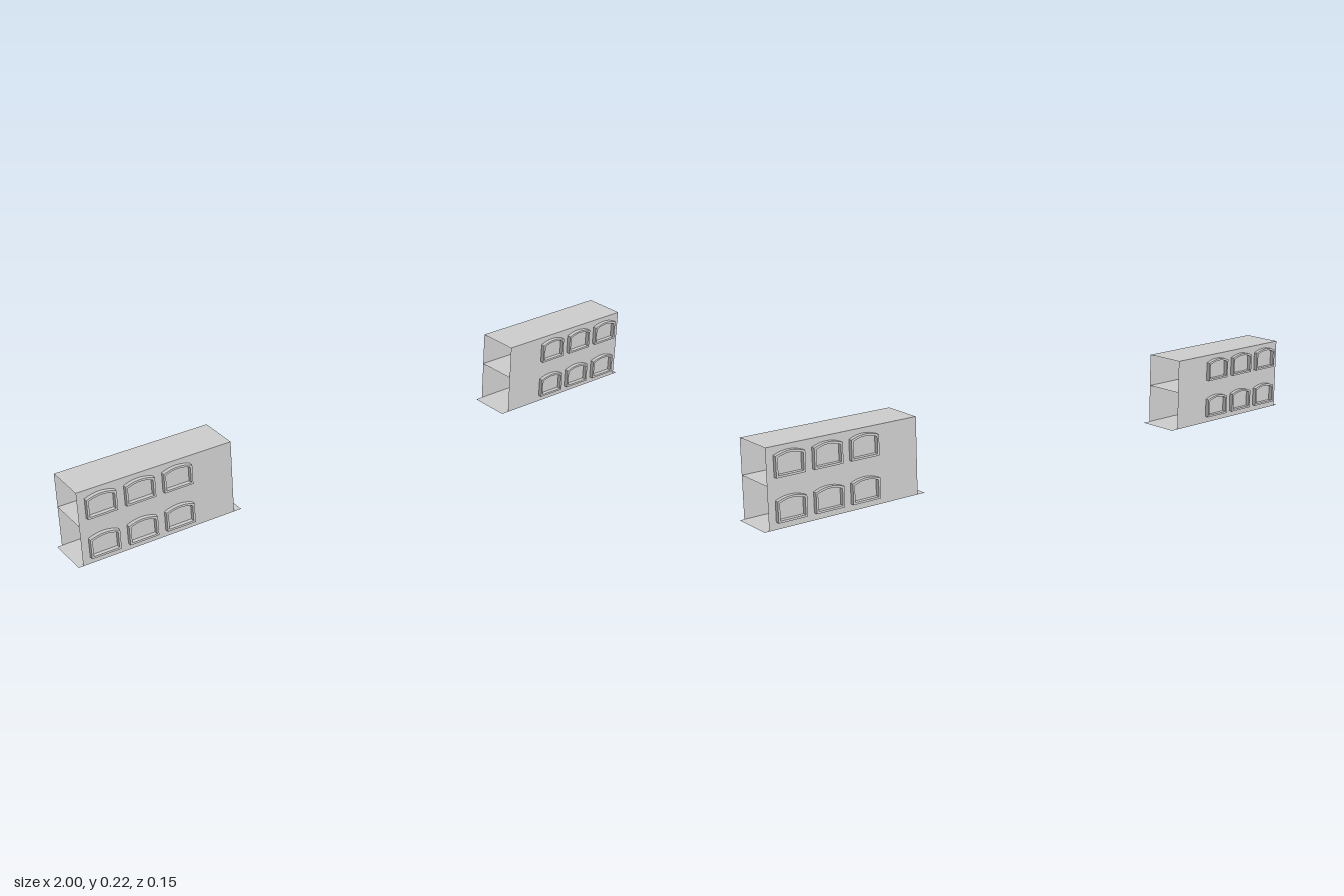
import * as THREE from 'three';

const HEIGHT = 0.225, HALF_DEPTH = 0.064, MID_FLOOR = 0.122;
const X_IN = 0.515, X_OUT = 0.986;            // wall ends, measured from the centre
const FLOOR_IN = 0.491, FLOOR_OUT = 1.0;      // ground floor reaches past the walls
const FRAME_DEPTH = 0.0125;

const material = new THREE.MeshStandardMaterial({
  color: 0xcccccc, flatShading: true, side: THREE.DoubleSide,
});

function add(parent, name, geometry, x, y, z) {
  const mesh = new THREE.Mesh(geometry, material);
  mesh.name = name;
  mesh.position.set(x, y, z);
  parent.add(mesh);
  return mesh;
}

// Window outline: straight sides with a shallow arched head
function windowPath(path, w, bottom, spring, rise) {
  const h = w / 2;
  path.moveTo(-h, bottom);
  path.lineTo(h, bottom);
  path.lineTo(h, spring);
  path.quadraticCurveTo(0, spring + rise * 2, -h, spring);
  path.lineTo(-h, bottom);
  return path;
}

// Thin raised frame, open in the middle
function frameGeometry() {
  const shape = windowPath(new THREE.Shape(), 0.088, 0, 0.059, 0.0095);
  shape.holes.push(windowPath(new THREE.Path(), 0.076, 0.006, 0.054, 0.0085));
  return new THREE.ExtrudeGeometry(shape, {
    depth: FRAME_DEPTH, bevelEnabled: false, curveSegments: 8,
  });
}

// Flat horizontal sheet between two x positions
function sheet(parent, name, x0, x1, y) {
  const geometry = new THREE.PlaneGeometry(x1 - x0, HALF_DEPTH * 2).rotateX(-Math.PI / 2);
  add(parent, name, geometry, (x0 + x1) / 2, y, 0);
}

// One two-storey block, open at both ends, lying along +x
function buildBlock(frame) {
  const block = new THREE.Group();
  const middle = (X_IN + X_OUT) / 2;

  sheet(block, 'groundFloor', FLOOR_IN, FLOOR_OUT, 0);
  sheet(block, 'upperFloor', X_IN, X_OUT, MID_FLOOR);
  sheet(block, 'roof', X_IN, X_OUT, HEIGHT);

  for (const side of [1, -1]) {
    const wall = new THREE.Group();
    wall.name = side > 0 ? 'frontWall' : 'backWall';
    const panel = add(wall, 'wallPanel', new THREE.PlaneGeometry(X_OUT - X_IN, HEIGHT),
      middle, HEIGHT / 2, side * HALF_DEPTH);
    if (side < 0) panel.rotation.y = Math.PI;

    // Two rows of three windows, set toward the outer end
    for (const sill of [0.02, 0.142]) {
      for (let i = 0; i < 3; i++) {
        const mesh = add(wall, 'windowFrame', frame, 0.69 + i * 0.115, sill, side * HALF_DEPTH);
        if (side < 0) mesh.rotation.y = Math.PI;
      }
    }
    block.add(wall);
  }
  return block;
}

export function createModel() {
  const model = new THREE.Group();
  model.name = 'model';
  const frame = frameGeometry();

  // Matching pair of blocks, windows toward the outer ends
  const left = buildBlock(frame);
  left.name = 'leftBlock';
  const right = buildBlock(frame);
  right.name = 'rightBlock';
  right.rotation.y = Math.PI;
  model.add(left, right);

  // Small blocks standing on the two floors
  const crate = new THREE.BoxGeometry(0.024, 0.038, 0.024);
  add(left, 'lowerCrate', crate, 0.75, 0.019, 0);
  add(left, 'upperCrate', crate, 0.75, MID_FLOOR + 0.019, 0.041);

  return model;
}
